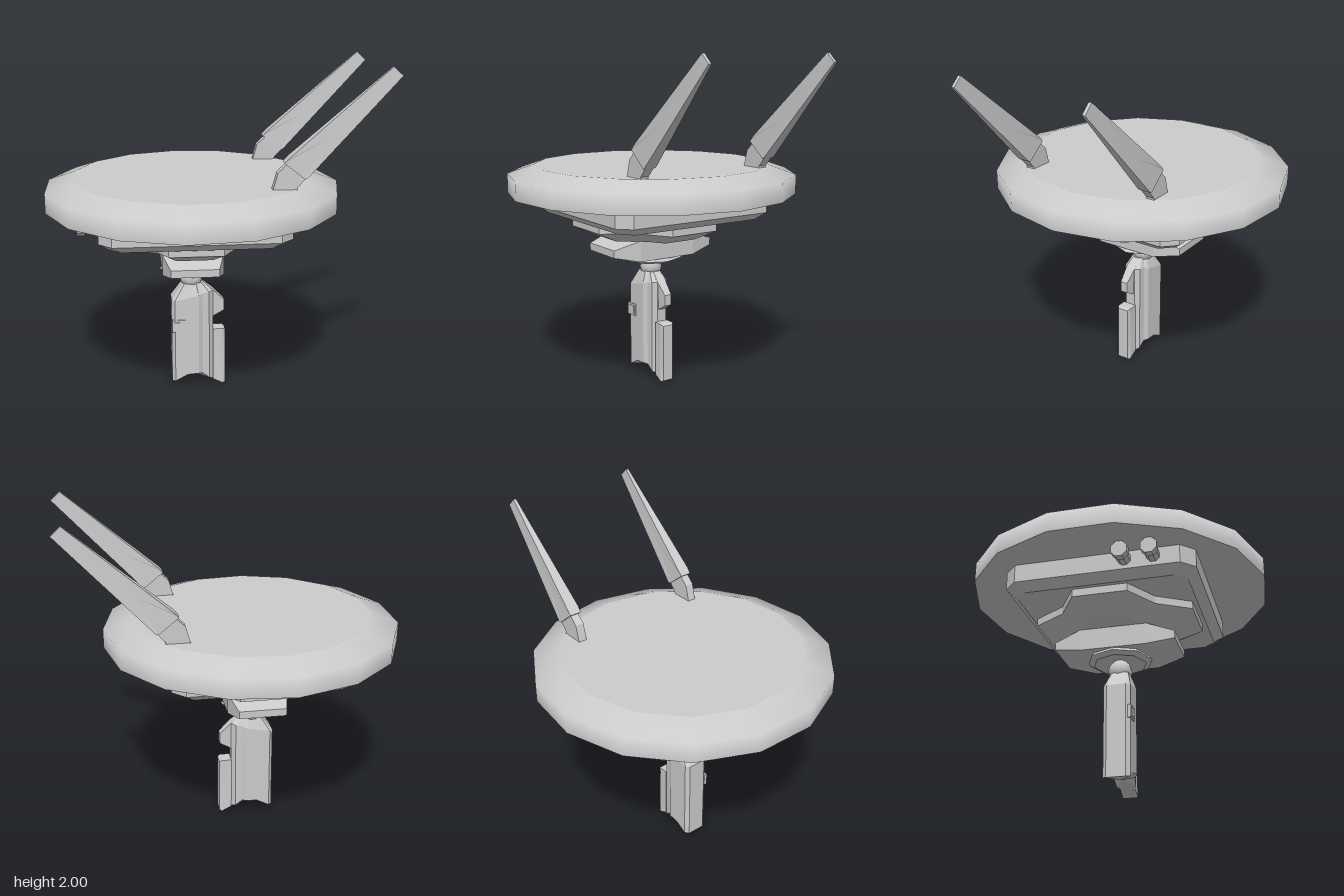
import * as THREE from 'three';

const CX = -0.13; // vertical axis of the disc and mount

function material(flat = true) {
  return new THREE.MeshStandardMaterial({ color: 0xcccccc, flatShading: flat });
}

function add(parent, name, geometry, flat = true) {
  const mesh = new THREE.Mesh(geometry, material(flat));
  mesh.name = name;
  parent.add(mesh);
  return mesh;
}

// Skin a list of closed rings of [x, y, z] points and cap both ends
function loft(rings) {
  const pos = [], n = rings[0].length;
  const centre = (ring) => [0, 1, 2].map((k) => ring.reduce((s, p) => s + p[k], 0) / n);
  const tris = [];
  for (let r = 0; r < rings.length - 1; r++) {
    for (let i = 0; i < n; i++) {
      const j = (i + 1) % n, a = rings[r], b = rings[r + 1];
      tris.push([a[i], a[j], b[j]], [a[i], b[j], b[i]]);
    }
  }
  const first = rings[0], last = rings[rings.length - 1];
  const c0 = centre(first), c1 = centre(last);
  for (let i = 0; i < n; i++) {
    const j = (i + 1) % n;
    tris.push([c0, first[j], first[i]], [c1, last[i], last[j]]);
  }
  // turn the faces outward whatever the ring direction
  const v = (p) => new THREE.Vector3(...p).sub(new THREE.Vector3(...c0));
  const volume = tris.reduce((s, [a, b, c]) => s + v(a).dot(v(b).cross(v(c))), 0);
  for (const [a, b, c] of tris) pos.push(...a, ...(volume > 0 ? [...b, ...c] : [...c, ...b]));
  const g = new THREE.BufferGeometry();
  g.setAttribute('position', new THREE.Float32BufferAttribute(pos, 3));
  g.computeVertexNormals();
  return g;
}

// Stack one plan outline (x, z around the axis) at several [y, scale] levels
function tier(outline, levels) {
  return loft(levels.map(([y, s]) => outline.map(([x, z]) => [CX - 0.01 + x * s, y, z * s])));
}

// Repeat a quarter outline four times around the axis
function fourfold(quarter) {
  const out = [];
  for (let q = 0; q < 4; q++) {
    for (let [x, z] of quarter) {
      for (let k = 0; k < q; k++) [x, z] = [-z, x];
      out.push([x, z]);
    }
  }
  return out;
}

// Side profile in x, y with its own half thickness at each point
function slab(profile, z) {
  return loft([-1, 1].map((s) => profile.map(([x, y, h]) => [x, y, z + s * h])));
}

function lathe(points, sides) {
  return new THREE.LatheGeometry(points.map((p) => new THREE.Vector2(...p)), sides, Math.PI / 2);
}

export function createModel() {
  const model = new THREE.Group();
  model.name = 'discOnHandle';

  // Fifteen-sided disc with a smooth rim and flat faces
  const disc = new THREE.Group();
  disc.name = 'disc';
  disc.position.x = CX;
  model.add(disc);
  add(disc, 'discRim', lathe([[0.87, 1.165], [0.87, 1.28], [0.71, 1.335]], 15), false);
  add(disc, 'discTop', lathe([[0.71, 1.335], [0, 1.335]], 15), false);
  add(disc, 'discUnderside', lathe([[0, 1.165], [0.87, 1.165]], 15), false);

  // Stepped platform below the disc
  const square = fourfold([[0.54, -0.465], [0.54, 0.465], [0.465, 0.54]].slice(1));
  add(model, 'upperPlatform', tier(square, [[1.168, 1], [1.06, 1], [1.015, 0.9]]));
  const cross = fourfold([[0.46, 0.155], [0.27, 0.27], [0.155, 0.46]]);
  add(model, 'lowerPlatform', tier(cross, [[1.02, 1], [0.97, 1], [0.9, 0.675]]));

  // Winged bracket, running front to back
  const wing = [[-0.35, 0.14, 0.81, 0.855], [-0.19, 0.18, 0.775, 0.902],
    [0.19, 0.18, 0.775, 0.902], [0.35, 0.14, 0.81, 0.855]];
  add(model, 'wingBracket', loft(wing.map(([z, h, lo, hi]) =>
    [[-0.14 - h, lo, z], [-0.14 + h, lo, z], [-0.14 + h, hi, z], [-0.14 - h, hi, z]])));

  // Saddle plate and ball joint
  const saddle = add(model, 'saddle',
    lathe([[0, 0.755], [0.09, 0.755], [0.155, 0.738], [0.19, 0.755], [0.165, 0.785], [0, 0.785]], 8));
  saddle.position.x = -0.14;
  const ball = add(model, 'ballJoint', new THREE.SphereGeometry(0.07, 10, 6), false);
  ball.position.set(-0.14, 0.695, 0);

  // Handle: half outline [x, half depth, bottom y, shoulder y], mirrored front to back
  const half = [[-0.265, 0.055, 0.04, 0.57], [-0.245, 0.077, 0.045, 0.57], [-0.17, 0.077, 0.085, 0.585],
    [-0.1, 0.077, 0.09, 0.6], [-0.075, 0.06, 0.085, 0.61], [-0.035, 0.055, 0.05, 0.615], [-0.01, 0.03, 0.035, 0.62]];
  const outline = [...half.map((p) => [...p, 1]), ...half.slice().reverse().map((p) => [...p, -1])];
  const zh = 0.008;
  const topX = (x) => THREE.MathUtils.mapLinear(x, -0.265, -0.01, -0.195, -0.07);
  add(model, 'handle', loft([
    outline.map(([x, d, lo, , s]) => [x, lo, zh + s * d]),
    outline.map(([x, d, , hi, s]) => [x, hi, zh + s * d]),
    outline.map(([x, d, , , s]) => [topX(x), 0.67, zh + s * d * 0.65]),
  ]));

  // Rail, trigger and button on the handle
  add(model, 'rail', slab([[-0.01, 0.035, 0.043], [0.05, 0.005, 0.043], [0.065, 0.012, 0.035],
    [0.065, 0.36, 0.035], [0.05, 0.37, 0.043], [-0.01, 0.37, 0.043]], 0.012));
  add(model, 'trigger', slab([[-0.03, 0.635, 0.03], [-0.01, 0.62, 0.03], [0.06, 0.55, 0.023],
    [0.06, 0.485, 0.023], [-0.01, 0.445, 0.023], [-0.03, 0.445, 0.023]], 0.008));
  const frame = add(model, 'buttonFrame', new THREE.BoxGeometry(0.08, 0.075, 0.02));
  frame.position.set(-0.222, 0.41, 0.082);
  const button = add(model, 'button', new THREE.BoxGeometry(0.055, 0.05, 0.02));
  button.position.set(-0.222, 0.41, 0.086);

  // Two plugs on the right edge of the platform
  for (const z of [0.16, 0.32]) {
    const plug = new THREE.Group();
    plug.name = 'plug';
    plug.position.set(0, 1.118, z);
    model.add(plug);
    for (const [name, x, length, r] of [['plugHead', -0.777, 0.046, 0.048], ['plugNeck', -0.715, 0.09, 0.038]]) {
      const part = add(plug, name, new THREE.CylinderGeometry(r, r, length, 8).rotateY(Math.PI / 8));
      part.rotation.z = Math.PI / 2;
      part.position.x = x;
    }
  }

  // Pair of leaning tapered antennas
  for (const side of [1, -1]) {
    const antenna = new THREE.Group();
    antenna.name = side > 0 ? 'frontAntenna' : 'backAntenna';
    antenna.position.z = side * 0.41;
    model.add(antenna);
    add(antenna, 'antennaFoot', slab([[0.28, 1.32], [0.42, 1.32], [0.42, 1.345], [0.47, 1.4],
      [0.375, 1.49], [0.31, 1.43]].map((p) => [...p, 0.026]), 0));
    add(antenna, 'antennaBlade', slab([[0.345, 1.485, 0.035], [0.46, 1.393, 0.035], [0.475, 1.4, 0.037],
      [0.99, 1.95, 0.009], [0.935, 2, 0.009], [0.37, 1.513, 0.037]], 0));
  }
  return model;
}
